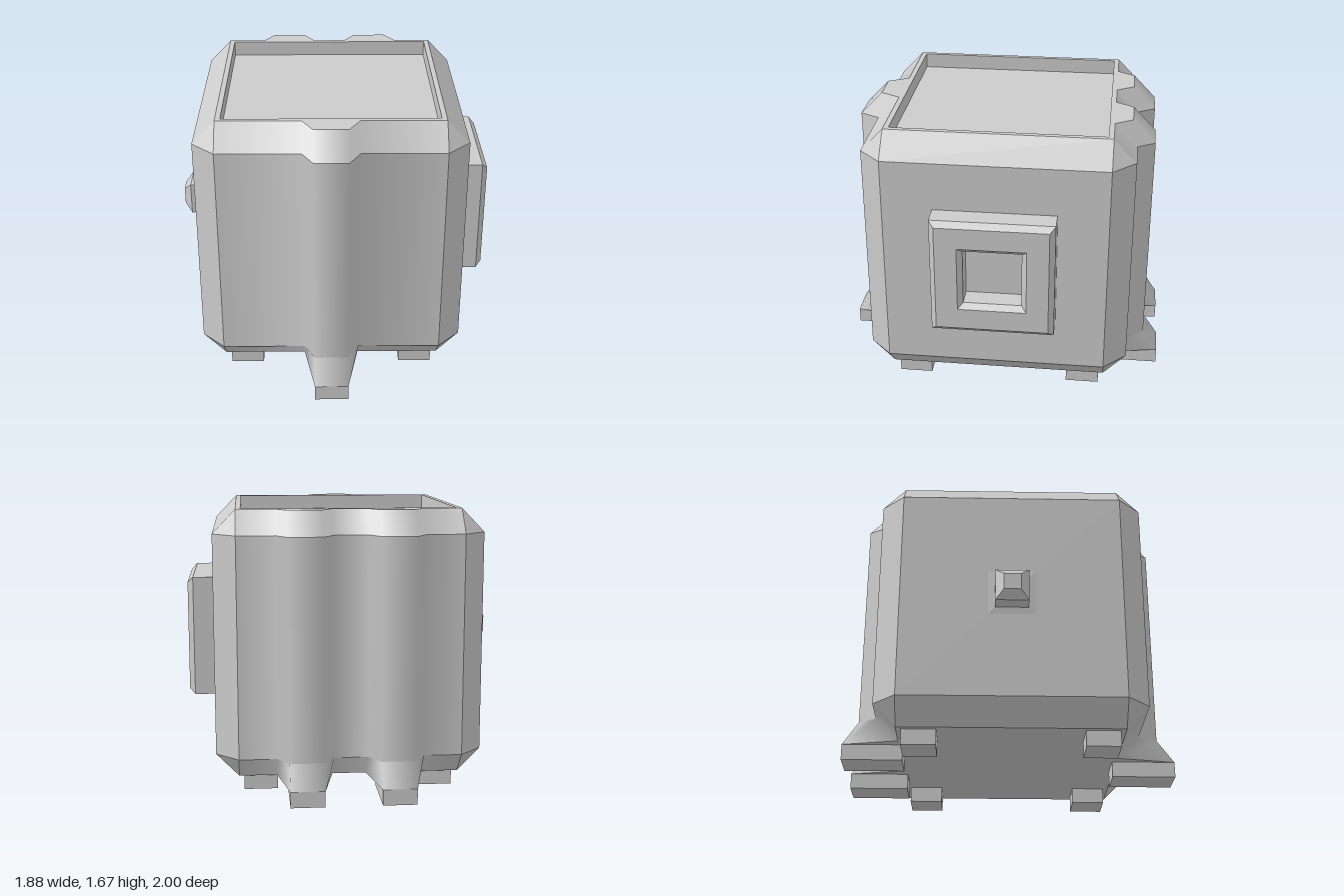
import * as THREE from 'three';

const HALF = 0.79, INSET = 0.655;             // body half width, and after the chamfer
const LEVELS = [0.094, 0.232, 1.535, 1.675];  // bottom, chamfer, chamfer, top
const CORNER_FEET = 0.525, FOOT = 0.2, FOOT_H = LEVELS[0];

// Each side faces outward along its own +z; ribs run up it and flare into a foot
const SIDES = [
  { name: 'front', ribs: [0], depth: 0.12, flare: 1.0125 },
  { name: 'left', ribs: [] },
  { name: 'back', ribs: [-0.265, 0.265], depth: 0.105, flare: 0.9875 },
  { name: 'right', ribs: [] },
];

const flat = new THREE.MeshStandardMaterial({ color: 0xcccccc, flatShading: true });
const smooth = new THREE.MeshStandardMaterial({ color: 0xcccccc });
const twoSided = new THREE.MeshStandardMaterial({ color: 0xcccccc, side: THREE.DoubleSide });

function mesh(name, geometry, material = flat) {
  const m = new THREE.Mesh(geometry, material);
  m.name = name;
  return m;
}

function buildGeometry(points, index) {
  const g = new THREE.BufferGeometry().setFromPoints(points);
  g.setIndex(index);
  g.computeVertexNormals();
  return g;
}

// Outline of one side at a level, from left to right
function sideOutline(side, level) {
  const base = level === 0 || level === 3 ? INSET : HALF;
  const top = level === 0 ? side.flare : base + side.depth;
  const y = LEVELS[level];
  const pts = [new THREE.Vector3(-INSET, y, base)];
  for (const c of side.ribs) {
    for (const [dx, z] of [[-0.165, base], [-0.1, top], [0.1, top], [0.165, base]]) {
      pts.push(new THREE.Vector3(c + dx, y, z));
    }
  }
  pts.push(new THREE.Vector3(INSET, y, base));
  return pts;
}

// Strip between two levels, smooth from column to column, hard above and below
function strip(side, level) {
  const low = sideOutline(side, level), high = sideOutline(side, level + 1);
  const n = low.length, index = [], faces = [];
  for (let i = 0; i < n - 1; i++) {
    index.push(i, i + 1, n + i + 1, i, n + i + 1, n + i);
    const diagonal = high[i + 1].clone().sub(low[i]);
    faces.push(diagonal.cross(high[i].clone().sub(low[i + 1])).normalize());
  }
  const g = buildGeometry([...low, ...high], index);
  for (let i = 0; i < n; i++) {
    const before = faces[Math.max(i - 1, 0)], after = faces[Math.min(i, n - 2)];
    const normal = before.clone().add(after).normalize();
    g.attributes.normal.setXYZ(i, normal.x, normal.y, normal.z);
    g.attributes.normal.setXYZ(n + i, normal.x, normal.y, normal.z);
  }
  return g;
}

// Closed outline of the whole body at a level
function capShape(level) {
  const pts = [];
  SIDES.forEach((side, i) => {
    for (const p of sideOutline(side, level).slice(1)) {
      p.applyAxisAngle(new THREE.Vector3(0, 1, 0), i * Math.PI / 2);
      pts.push(new THREE.Vector2(p.x, -p.z));
    }
  });
  return new THREE.Shape(pts);
}

// Cut-off corner with a triangle at the top and bottom
function cornerGeometry() {
  const [y0, y1, y2, y3] = LEVELS;
  const pts = [
    [INSET, y1, HALF], [HALF, y1, INSET], [HALF, y2, INSET], [INSET, y2, HALF],
    [INSET, y3, INSET], [INSET, y0, INSET],
  ].map(p => new THREE.Vector3(...p));
  return buildGeometry(pts, [0, 1, 2, 0, 2, 3, 3, 2, 4, 1, 0, 5]);
}

// Square turned profile of [half width, height], pointing along +x
function squareProfile(profile) {
  const pts = profile.map(([half, h]) => new THREE.Vector2(half * Math.SQRT2, h));
  return new THREE.LatheGeometry(pts, 4, Math.PI / 4).rotateZ(-Math.PI / 2);
}

export function createModel() {
  const model = new THREE.Group();
  model.name = 'ribbedBox';
  model.position.set(-0.01, 0, -0.0125);
  const root = new THREE.Group();
  root.add(model);

  // Body sides, corners and feet
  SIDES.forEach((side, i) => {
    const group = new THREE.Group();
    group.name = side.name + 'Side';
    group.rotation.y = i * Math.PI / 2;
    ['lowerChamfer', 'wall', 'upperChamfer'].forEach((name, level) =>
      group.add(mesh(name, strip(side, level), smooth)));
    group.add(mesh('cornerChamfer', cornerGeometry()));
    for (const x of side.ribs) {
      const length = side.flare - 0.63;
      const foot = mesh('ribFoot', new THREE.BoxGeometry(FOOT, FOOT_H, length));
      foot.position.set(x, FOOT_H / 2, side.flare - length / 2);
      group.add(foot);
    }
    const foot = mesh('cornerFoot', new THREE.BoxGeometry(FOOT, FOOT_H, FOOT));
    foot.position.set(CORNER_FEET, FOOT_H / 2, CORNER_FEET);
    group.add(foot);
    model.add(group);
  });

  // Underside
  const underside = mesh('underside', new THREE.ShapeGeometry(capShape(0)), twoSided);
  underside.rotation.x = -Math.PI / 2;
  underside.position.y = LEVELS[0];
  model.add(underside);

  // Thin rim around the sunken top
  const r = 0.625, depth = 0.09;
  const rimShape = capShape(3);
  rimShape.holes.push(new THREE.Path([[-r, -r], [-r, r], [r, r], [r, -r]]
    .map(p => new THREE.Vector2(...p))));
  const rim = mesh('rim', new THREE.ExtrudeGeometry(rimShape, { depth, bevelEnabled: false }));
  rim.rotation.x = -Math.PI / 2;
  rim.position.y = LEVELS[3] - depth;
  model.add(rim);

  const top = mesh('sunkenTop', new THREE.PlaneGeometry(2 * r, 2 * r));
  top.rotation.x = -Math.PI / 2;
  top.position.y = LEVELS[3] - depth;
  model.add(top);

  // Square frame with bevelled edges around a straight recess
  const frame = mesh('sideFrame', squareProfile([
    [0.36, 0], [0.36, 0.127], [0.328, 0.16], [0.2, 0.16], [0.17, 0.127], [0.17, 0.005], [0, 0.005],
  ]));
  frame.position.set(HALF, 0.887, 0);
  model.add(frame);

  // Small knob on a barely raised base
  const knob = mesh('sideKnob', squareProfile([
    [0.14, 0], [0.098, 0.005], [0.098, 0.095], [0.05, 0.14], [0, 0.14],
  ]));
  knob.position.set(-HALF, 0.886, 0);
  knob.rotation.y = Math.PI;
  model.add(knob);

  return root;
}
